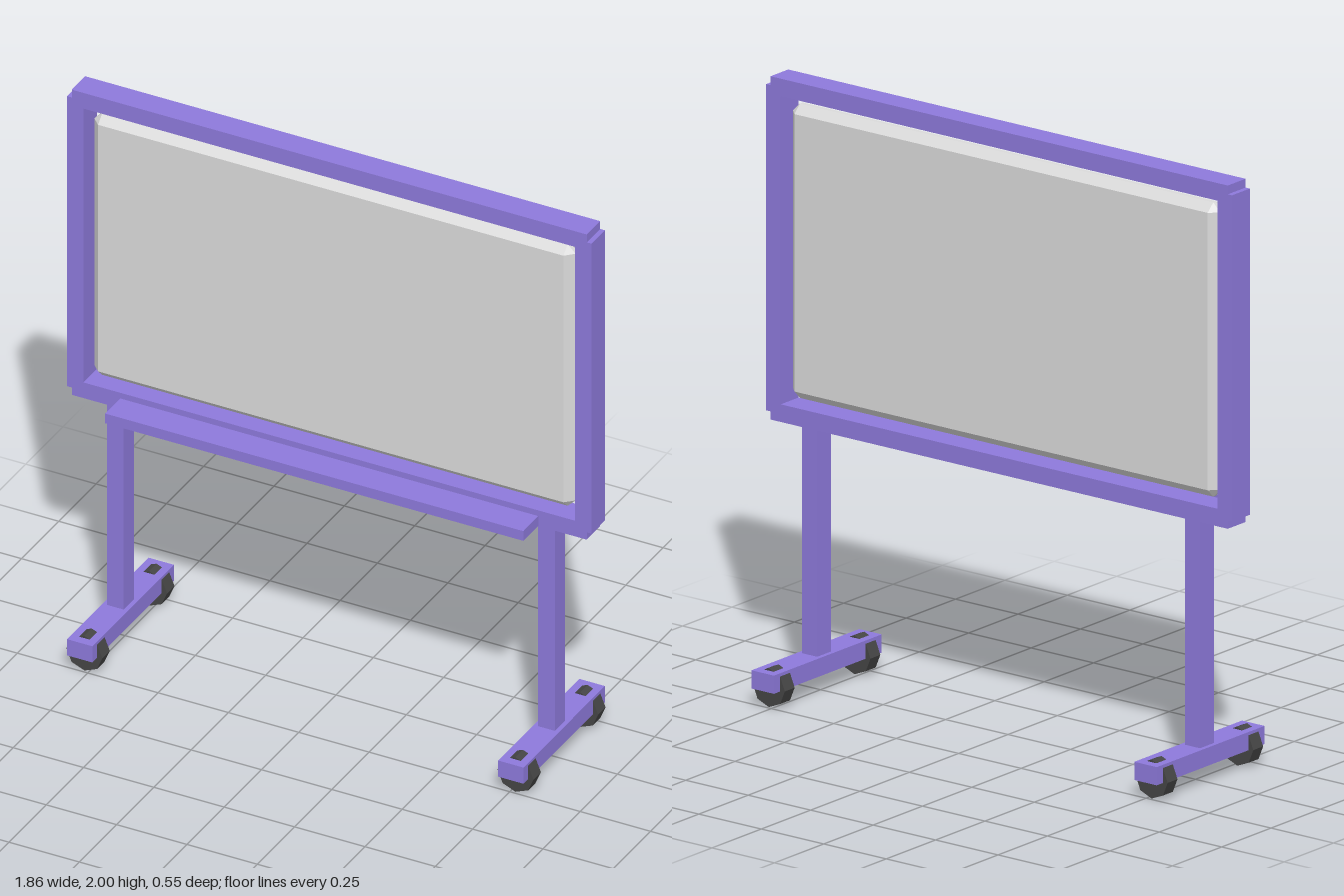
import * as THREE from 'three';
import { ConvexGeometry } from 'three/addons/geometries/ConvexGeometry.js';

const paint = new THREE.MeshStandardMaterial({ color: 0x8d79db });
paint.name = 'purple paint';
const board = new THREE.MeshStandardMaterial({ color: 0xdadada });
board.name = 'board grey';
const rubber = new THREE.MeshStandardMaterial({ color: 0x454545 });
rubber.name = 'dark rubber';

// Box given by its low and high corner on each axis
function box(name, [x0, x1], [y0, y1], [z0, z1]) {
  const mesh = new THREE.Mesh(new THREE.BoxGeometry(x1 - x0, y1 - y0, z1 - z0), paint);
  mesh.position.set((x0 + x1) / 2, (y0 + y1) / 2, (z0 + z1) / 2);
  mesh.name = name;
  return mesh;
}

// Box with every edge and corner cut by one flat bevel
function bevelledBox(w, h, d, b) {
  const points = [];
  const half = [w / 2, h / 2, d / 2];
  for (const sx of [-1, 1]) for (const sy of [-1, 1]) for (const sz of [-1, 1]) {
    for (let axis = 0; axis < 3; axis++) {
      const p = half.map((v, i) => (i === axis ? v : v - b));
      points.push(new THREE.Vector3(p[0] * sx, p[1] * sy, p[2] * sz));
    }
  }
  return new ConvexGeometry(points);
}

export function createModel() {
  const model = new THREE.Group();
  model.name = 'rollingBoard';

  // Writing panel, floating just inside the frame
  const panel = new THREE.Mesh(bevelledBox(1.71, 0.97, 0.07, 0.028), board);
  panel.position.y = 1.433;
  panel.name = 'panel';
  model.add(panel);

  // Frame rails and tray
  const depth = [-0.045, 0.045];
  model.add(box('topRail', [-0.915, 0.915], [1.942, 2], depth));
  model.add(box('bottomRail', [-0.915, 0.915], [0.869, 0.927], depth));
  model.add(box('tray', [-0.743, 0.743], [0.87, 0.906], [0.03, 0.146]));

  for (const s of [-1, 1]) {
    const side = s > 0 ? 'left' : 'right';
    const span = (c, w) => [s * c - w / 2, s * c + w / 2];
    model.add(box(side + 'Stile', span(0.903, 0.058), [0.896, 1.971], depth));
    model.add(box(side + 'Leg', span(0.766, 0.06), [0.058, 0.9], [-0.035, 0.035]));
    model.add(box(side + 'Foot', span(0.766, 0.09), [0.06, 0.12], [-0.273, 0.273]));

    // Eight-sided wheels set through the foot, axles along z
    for (const e of [-1, 1]) {
      const geo = new THREE.CylinderGeometry(0.064, 0.064, 0.05, 8).toNonIndexed();
      geo.computeVertexNormals();
      geo.rotateX(Math.PI / 2);
      const wheel = new THREE.Mesh(geo, rubber);
      wheel.position.set(s * 0.766, 0.064, e * 0.217);
      wheel.name = side + (e > 0 ? 'Front' : 'Back') + 'Wheel';
      model.add(wheel);
    }
  }
  return model;
}
